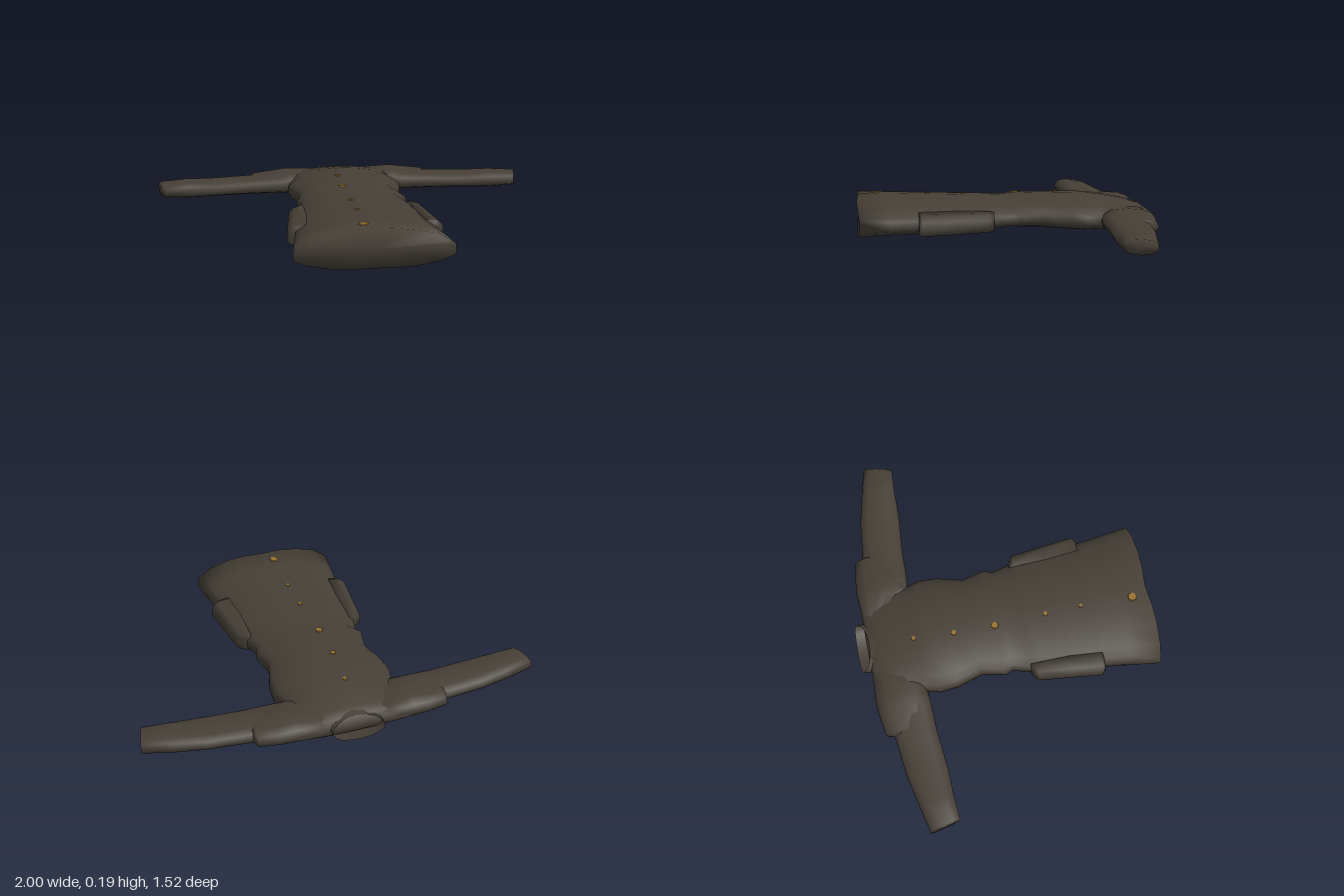
import * as THREE from 'three';

const cloth = new THREE.MeshStandardMaterial({ color: 0x463f37, side: THREE.DoubleSide });
cloth.name = 'darkCloth';
const brass = new THREE.MeshStandardMaterial({ color: 0x98702f });
brass.name = 'brass';

// Joins rings of [x, y, z] points into a smooth skin, with optional end caps.
function loft(rings, capStart = true, capEnd = true) {
  const n = rings[0].length, pos = [], idx = [];
  rings.forEach(r => r.forEach(p => pos.push(...p)));
  for (let i = 0; i < rings.length - 1; i++) {
    for (let j = 0; j < n; j++) {
      const a = i * n + j, b = i * n + (j + 1) % n;
      idx.push(a, b, a + n, b, b + n, a + n);
    }
  }
  const cap = (ring, base, flip) => {
    const c = [0, 1, 2].map(k => ring.reduce((s, p) => s + p[k], 0) / n);
    const ci = pos.length / 3;
    pos.push(...c);
    for (let j = 0; j < n; j++) {
      const a = base + j, b = base + (j + 1) % n;
      idx.push(...(flip ? [ci, b, a] : [ci, a, b]));
    }
  };
  if (capStart) cap(rings[0], 0, true);
  if (capEnd) cap(rings[rings.length - 1], (rings.length - 1) * n, false);

  // Turn the faces outwards when the rings run the other way
  const v = i => new THREE.Vector3().fromArray(pos, i * 3);
  const mid = new THREE.Vector3();
  for (let i = 0; i < pos.length / 3; i++) mid.add(v(i));
  mid.divideScalar(pos.length / 3);
  let volume = 0;
  for (let i = 0; i < idx.length; i += 3) {
    const [a, b, c] = [0, 1, 2].map(k => v(idx[i + k]).sub(mid));
    volume += a.dot(b.cross(c));
  }
  if (volume < 0) idx.reverse();
  const g = new THREE.BufferGeometry();
  g.setAttribute('position', new THREE.Float32BufferAttribute(pos, 3));
  g.setIndex(idx);
  g.computeVertexNormals();
  return g;
}

// Half outline of the flattened coat: [share of half width, share of height]
const half = [[0, 1], [0.27, 0.98], [0.53, 0.92], [0.8, 0.79], [0.93, 0.62], [1, 0.53],
  [1, 0.27], [0.86, 0.15], [0.53, 0.04], [0.27, 0.01], [0, 0]];
const outline = [...half, ...half.slice(1, -1).reverse().map(([x, y]) => [-x, y])];

// Body sections: z, half width, bottom, top
const bodySections = [
  [-0.705, 0.29, 0.05, 0.1], [-0.685, 0.31, 0.03, 0.125], [-0.64, 0.31, 0.018, 0.142],
  [-0.55, 0.3, 0.012, 0.162], [-0.44, 0.285, 0.01, 0.181], [-0.38, 0.302, 0.012, 0.184],
  [-0.29, 0.295, 0.018, 0.187], [-0.16, 0.258, 0.027, 0.187], [-0.04, 0.285, 0.034, 0.187],
  [0, 0.268, 0.035, 0.178], [0.1, 0.295, 0.024, 0.181], [0.13, 0.305, 0.018, 0.182],
  [0.3, 0.325, 0.013, 0.187], [0.46, 0.338, 0.011, 0.191], [0.6, 0.357, 0.009, 0.196],
  [0.745, 0.376, 0.006, 0.2],
];
const topOfCoat = z => {
  const i = bodySections.findIndex(s => s[0] >= z);
  const [a, b] = [bodySections[i - 1], bodySections[i]];
  return a[3] + (b[3] - a[3]) * (z - a[0]) / (b[0] - a[0]);
};

// Oval section of an arm: back and front corners in x and z, bottom and top in y
function armRing(side, [xBack, zBack, xFront, zFront, y0, y1]) {
  const ring = [];
  for (let i = 0; i < 12; i++) {
    const a = i / 12 * Math.PI * 2;
    const soft = v => Math.sign(v) * Math.pow(Math.abs(v), 0.8);
    const t = 0.5 + soft(Math.cos(a)) / 2;
    ring.push([side * (xBack + (xFront - xBack) * t), (y0 + y1) / 2 + soft(Math.sin(a)) * (y1 - y0) / 2,
      zBack + (zFront - zBack) * t]);
  }
  return ring;
}

export function createModel() {
  const coat = new THREE.Group();
  coat.name = 'coat';
  const add = (name, geometry, material = cloth) => {
    const m = new THREE.Mesh(geometry, material);
    m.name = name;
    coat.add(m);
    return m;
  };

  // Body and skirt, with a gently waved hem
  add('body', loft(bodySections.map(([z, w, b, t], i) => outline.map(([x, y]) => {
    const wave = i === bodySections.length - 1 ? 0.014 * Math.sin(Math.abs(x) * Math.PI) : 0;
    return [x * w, b + (t - b) * y, z + wave];
  }))));

  // Open standing collar, lower at the front so the neck shows as a V
  const collarRing = (w, y0, y1, zBottom, zTop, dip) => {
    const ring = [];
    for (let i = 0; i < 16; i++) {
      const a = i / 16 * Math.PI * 2, s = Math.sin(a);
      const z = s > 0 ? zTop + dip * (1 - s) : zTop + (zBottom - zTop) * -s + dip * (1 + s);
      ring.push([w * Math.cos(a), (y0 + y1) / 2 + s * (y1 - y0) / 2, z]);
    }
    return ring;
  };
  add('collar', loft([
    collarRing(0.145, 0.022, 0.142, -0.66, -0.63, 0),
    collarRing(0.132, 0.03, 0.134, -0.715, -0.665, -0.04),
    collarRing(0.13, 0.04, 0.128, -0.76, -0.69, -0.058),
  ], false, false));

  for (const side of [1, -1]) {
    const which = side > 0 ? 'left' : 'right';

    // Sleeve, tapering to the cuff
    add(which + 'Sleeve', loft([
      [0.2, -0.67, 0.2, -0.45, 0.03, 0.14], [0.36, -0.66, 0.34, -0.44, 0.033, 0.127],
      [0.49, -0.648, 0.5, -0.436, 0.037, 0.12], [0.7, -0.626, 0.7, -0.418, 0.038, 0.116],
      [0.85, -0.594, 0.84, -0.416, 0.036, 0.124], [0.998, -0.56, 0.962, -0.408, 0.048, 0.12],
    ].map(s => armRing(side, s))));

    // Shoulder cape over the top of the sleeve
    add(which + 'Shoulder', loft([
      [0.14, -0.702, 0.18, -0.48, 0.035, 0.135], [0.3, -0.712, 0.28, -0.45, 0.03, 0.142],
      [0.38, -0.705, 0.36, -0.46, 0.032, 0.131], [0.475, -0.69, 0.46, -0.48, 0.04, 0.12],
      [0.49, -0.645, 0.47, -0.5, 0.045, 0.115],
    ].map(s => armRing(side, s))));

    // Hip pocket standing out from the side of the skirt
    add(which + 'Pocket', loft([
      [0.09, 0.302, 0.05, 0.11], [0.12, 0.342, 0.05, 0.115], [0.28, 0.359, 0.045, 0.118],
      [0.445, 0.378, 0.042, 0.12], [0.46, 0.36, 0.045, 0.12],
    ].map(([z, x, y0, y1]) => [
      [side * 0.27, y0 - 0.012, z], [side * (x - 0.025), y0 - 0.008, z], [side * x, y0 + 0.012, z],
      [side * x, y1 - 0.012, z], [side * (x - 0.025), y1 + 0.012, z], [side * 0.27, y1 + 0.025, z],
    ])));
  }

  // Buttons down the front: x, z, radius
  [[-0.03, -0.465, 0.013], [-0.045, -0.26, 0.016], [-0.048, -0.05, 0.021],
    [-0.038, 0.215, 0.014], [-0.034, 0.4, 0.011], [-0.043, 0.667, 0.025]].forEach(([x, z, r], i) => {
    const b = add('button' + (i + 1), new THREE.CylinderGeometry(r * 0.85, r, 0.008, 8), brass);
    b.position.set(x, topOfCoat(z) - 0.001, z);
  });
  return coat;
}
